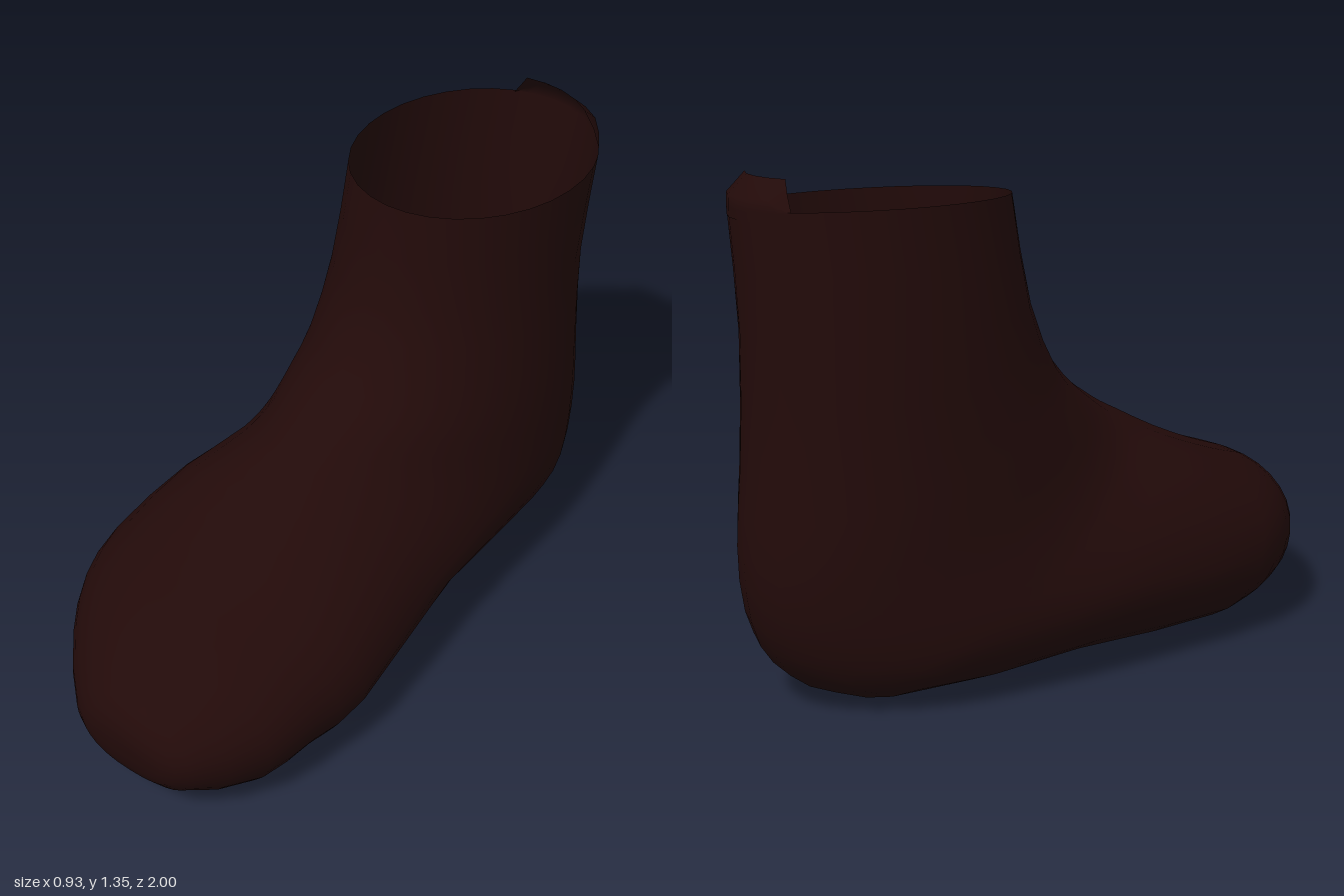
import * as THREE from 'three';

const SEG = 32;
const { smoothstep } = THREE.MathUtils;

// Stations from cuff to toe: instep z, y; heel or sole z, y; right and left x extent
const STATIONS = [
  [-0.18, 1.28, -0.97, 1.278, -0.28, 0.36],
  [-0.135, 0.99, -0.965, 0.95, -0.308, 0.335],
  [-0.04, 0.82, -0.98, 0.60, -0.325, 0.345],
  [0.05, 0.74, -0.998, 0.40, -0.34, 0.355],
  [0.12, 0.695, -0.98, 0.22, -0.352, 0.36],
  [0.17, 0.665, -0.91, 0.09, -0.372, 0.365],
  [0.22, 0.64, -0.77, 0.02, -0.395, 0.37],
  [0.34, 0.575, -0.22, 0.03, -0.45, 0.405],
  [0.52, 0.505, 0.36, 0.003, -0.455, 0.467],
  [0.66, 0.46, 0.58, 0.018, -0.39, 0.455],
  [0.80, 0.415, 0.75, 0.013, -0.28, 0.43],
  [0.96, 0.335, 0.95, 0.09, -0.09, 0.32],
  [0.995, 0.28, 0.99, 0.15, 0, 0.25],
  [1.0, 0.23, 1.0, 0.23, 0.15, 0.15],
];
const SPANS = STATIONS.length - 1;

// Smooth rails: each carries one side of the profile and one x extent
const instepRail = new THREE.CatmullRomCurve3(
  STATIONS.map(([z, y, , , xr]) => new THREE.Vector3(xr, y, z)));
const soleRail = new THREE.CatmullRomCurve3(
  STATIONS.map(([, , z, y, , xl]) => new THREE.Vector3(xl, y, z)));

// One closed cross-section; the foot is widest low down and squarer at the sole,
// and its inner (+x) side lifts into an arch between heel and ball
function section(station) {
  const top = instepRail.getPoint(station / SPANS);
  const sole = soleRail.getPoint(station / SPANS);
  const square = 1 - 0.42 * smoothstep(station, 4, 7.5) * (1 - smoothstep(station, 10, 13));
  const low = 0.5 - 0.1 * (smoothstep(station, 3, 7) - smoothstep(station, 7, 10));
  const arch = smoothstep(station, 4, 6.5) * (1 - smoothstep(station, 7, 8.5));
  const rimTilt = 0.035 * Math.max(0, 1 - station);
  return Array.from({ length: SEG }, (_, j) => {
    const angle = j / SEG * Math.PI * 2;
    const c = Math.cos(angle), s = Math.sin(angle);
    const wide = low + (s > 0 ? 0.1 * arch : 0);
    const t = wide + c * (c > 0 ? 1 - wide : wide);
    const power = c > 0 ? Math.min(1, square + 0.3) : square;
    const x = (top.x + sole.x) / 2 + (sole.x - top.x) / 2 * Math.sign(s) * Math.abs(s) ** power;
    const lift = 0.12 * arch * Math.max(0, s) * Math.max(0, -c) - rimTilt * x;
    return [x, sole.y + (top.y - sole.y) * t + lift, sole.z + (top.z - sole.z) * t];
  });
}

// Joins rows of points into a smooth surface; closed rows wrap around
function skin(rows, closed) {
  const n = rows[0].length, index = [];
  for (let i = 0; i < rows.length - 1; i++) {
    for (let j = 0; j < (closed ? n : n - 1); j++) {
      const k = (j + 1) % n;
      const a = i * n + j, b = (i + 1) * n + j, c = (i + 1) * n + k, d = i * n + k;
      index.push(a, b, c, a, c, d);
    }
  }
  const geometry = new THREE.BufferGeometry();
  geometry.setAttribute('position', new THREE.Float32BufferAttribute(rows.flat(2), 3));
  geometry.setIndex(index);
  geometry.computeVertexNormals();
  return geometry;
}

export function createModel() {
  const group = new THREE.Group();
  group.name = 'ankleBoot';
  const leather = new THREE.MeshStandardMaterial({ color: 0x220a09, side: THREE.DoubleSide });
  leather.name = 'dark brown leather';

  // Open shaft, heel, sole and toe as one continuous skin
  const rings = Array.from({ length: SPANS * 2 + 1 }, (_, i) => section(i / 2));
  const boot = new THREE.Mesh(skin(rings, true), leather);
  boot.name = 'bootBody';
  group.add(boot);

  // Raised tab on the back of the rim, leaning inward at its top
  const xs = [-0.085, -0.05, -0.02, 0.04, 0.1, 0.16, 0.22, 0.26, 0.3];
  const tabRows = [-0.3, 0, 0.4, 1].map((level) => xs.map((x) => {
    const rise = 0.08 * Math.max(0, Math.min(1, (x + 0.085) / 0.065, (0.3 - x) / 0.08));
    const z = -0.575 - 0.395 * Math.sqrt(1 - ((x - 0.04) / 0.32) ** 2);
    const lean = Math.max(0, level - 0.4) / 0.6 * 0.75 * rise;
    return [x, 1.275 + rise * level, z + lean];
  }));
  const tab = new THREE.Mesh(skin(tabRows, false), leather);
  tab.name = 'heelTab';
  group.add(tab);

  return group;
}
